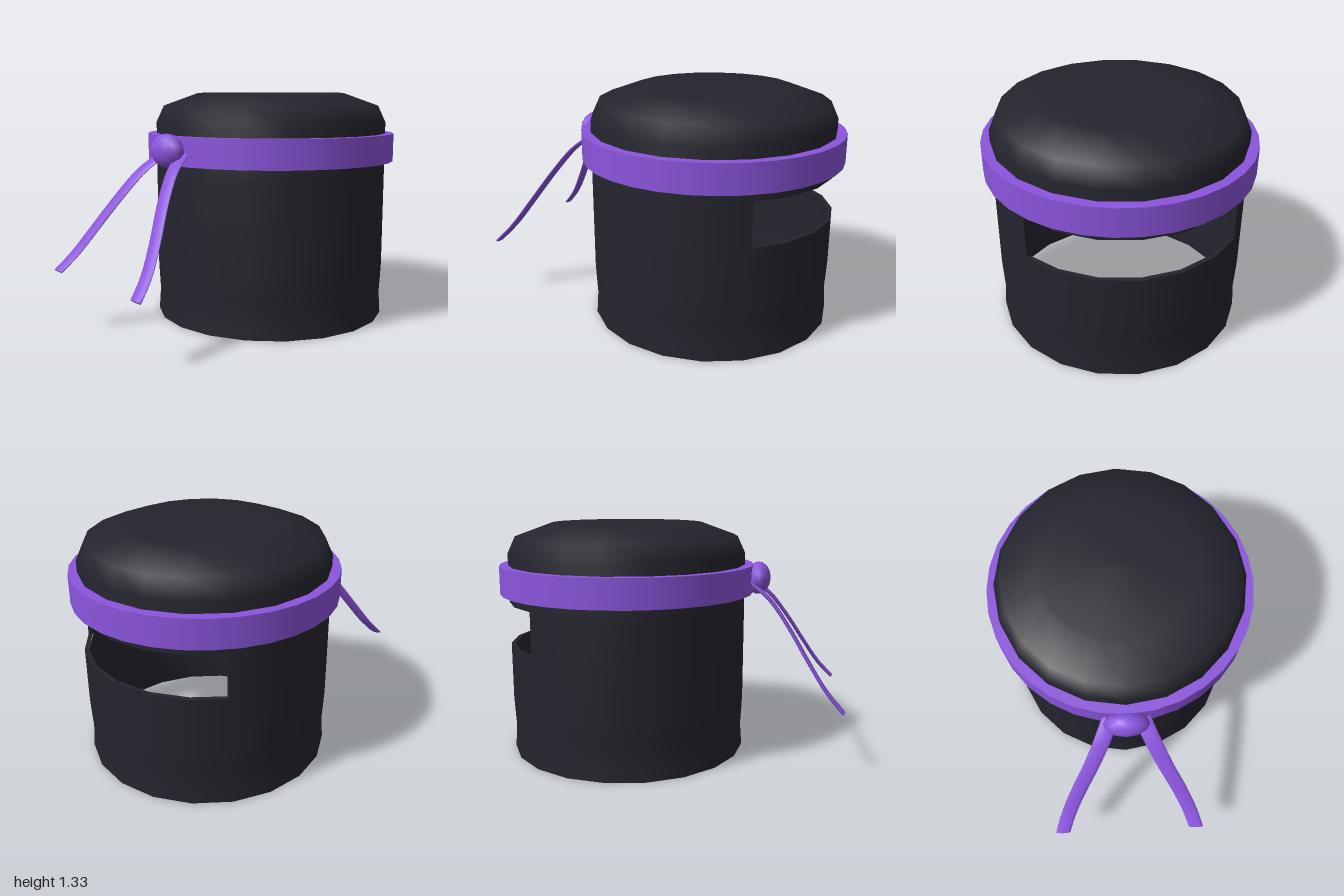
import * as THREE from 'three';

const CX = 0.257;            // hood axis
const R = 0.692, T = 0.025;  // hood radius and cloth thickness
const SLOT_LOW = 0.635, SLOT_HIGH = 0.88;
const SLOT_A = 37.8, SLOT_B = 142.2; // eye slot, degrees around the axis (90 = +x)

const dark = new THREE.MeshStandardMaterial({ color: 0x24242e });
dark.name = 'charcoal cloth';
const purple = new THREE.MeshStandardMaterial({ color: 0x8b55dd });
purple.name = 'purple cloth';

export function createModel() {
  const model = new THREE.Group();
  model.name = 'maskedHood';

  const add = (parent, name, geometry, material) => {
    const mesh = new THREE.Mesh(geometry, material);
    mesh.name = name;
    parent.add(mesh);
    return mesh;
  };

  // Revolve a profile of [radius, height] pairs between two angles
  const turn = (parent, name, profile, material, segments = 20, from = 0, to = 360) => {
    const points = profile.map(([r, y]) => new THREE.Vector2(r, y));
    const a = THREE.MathUtils.degToRad(from), b = THREE.MathUtils.degToRad(to);
    return add(parent, name, new THREE.LatheGeometry(points, segments, a, b - a), material);
  };

  // Hollow hood, open at the bottom
  const hood = new THREE.Group();
  hood.name = 'hood';
  hood.position.x = CX;
  model.add(hood);

  const lower = [[R, 0], [R - 0.004, 0.06], [R - 0.009, 0.13], [R - 0.004, 0.22], [R, 0.31], [R, SLOT_LOW]];
  const upper = [[R, SLOT_HIGH], [R, 1.16], [0.647, 1.257], [0.44, 1.332], [0, 1.332]];
  const inside = (profile) => profile.map(([r, y]) => [Math.max(r - T, 0), y > 1.1 ? y - T : y]).reverse();
  const middle = [[R, SLOT_LOW], [R, SLOT_HIGH]];

  turn(hood, 'lowerHoodOutside', lower, dark);
  turn(hood, 'lowerHoodInside', inside(lower), dark);
  turn(hood, 'upperHoodOutside', upper, dark);
  turn(hood, 'upperHoodInside', inside(upper), dark);
  turn(hood, 'bottomHem', [[R - T, 0], [R, 0]], dark);

  // Wall beside and behind the eye slot
  for (const [a, b, n] of [[SLOT_B, 144, 1], [144, 396, 14], [396, SLOT_A + 360, 1]]) {
    turn(hood, 'middleHoodOutside', middle, dark, n, a, b);
    turn(hood, 'middleHoodInside', inside(middle), dark, n, a, b);
  }

  // Cut edges of the eye slot
  for (const [a, b, n] of [[SLOT_A, 54, 1], [54, 126, 4], [126, SLOT_B, 1]]) {
    turn(hood, 'slotSill', [[R, SLOT_LOW], [R - T, SLOT_LOW]], dark, n, a, b);
    turn(hood, 'slotLintel', [[R - T, SLOT_HIGH], [R, SLOT_HIGH]], dark, n, a, b);
  }
  for (const [angle, flip] of [[SLOT_A, Math.PI], [SLOT_B, 0]]) {
    const phi = THREE.MathUtils.degToRad(angle);
    const jamb = add(hood, 'slotJamb', new THREE.PlaneGeometry(T, SLOT_HIGH - SLOT_LOW), dark);
    jamb.position.set(Math.sin(phi) * (R - T / 2), (SLOT_LOW + SLOT_HIGH) / 2, Math.cos(phi) * (R - T / 2));
    jamb.rotation.y = phi - Math.PI / 2 + flip;
  }

  // Headband with crisp edges
  const band = new THREE.Group();
  band.name = 'headband';
  band.position.x = CX;
  model.add(band);
  const B = 0.742, IN = 0.67, LOW = 0.933, HIGH = 1.095;
  turn(band, 'bandOutside', [[B, LOW], [B, HIGH]], purple, 32);
  turn(band, 'bandTop', [[B, HIGH], [IN, HIGH]], purple, 32);
  turn(band, 'bandUnderside', [[IN, LOW], [B, LOW]], purple, 32);

  // Knot
  const knot = add(model, 'knot', new THREE.SphereGeometry(1, 12, 8), purple);
  knot.scale.set(0.07, 0.094, 0.125);
  knot.position.set(-0.515, 1.018, 0);

  // Two flat tails: a cylinder bent along a curve, wide in z
  for (const side of [1, -1]) {
    const path = new THREE.CatmullRomCurve3([
      [-0.47, 1.0, 0.08], [-0.58, 0.915, 0.135], [-0.69, 0.77, 0.205],
      [-0.8, 0.595, 0.29], [-0.9, 0.445, 0.355], [-0.988, 0.347, 0.395],
    ].map(([x, y, z]) => new THREE.Vector3(x, y, z * side)));
    const geometry = new THREE.CylinderGeometry(1, 1, 1, 10, 16);
    const pos = geometry.attributes.position;
    for (let i = 0; i < pos.count; i++) {
      const t = THREE.MathUtils.clamp(pos.getY(i) + 0.5, 0, 1);
      const p = path.getPoint(t), d = path.getTangent(t);
      const length = Math.hypot(d.x, d.y);
      const wide = pos.getX(i) * (0.052 - 0.008 * t), thick = pos.getZ(i) * 0.011;
      pos.setXYZ(i, p.x - (d.y / length) * thick, p.y + (d.x / length) * thick, p.z + wide);
    }
    geometry.computeVertexNormals();
    add(model, side > 0 ? 'frontTail' : 'backTail', geometry, purple);
  }

  return model;
}
